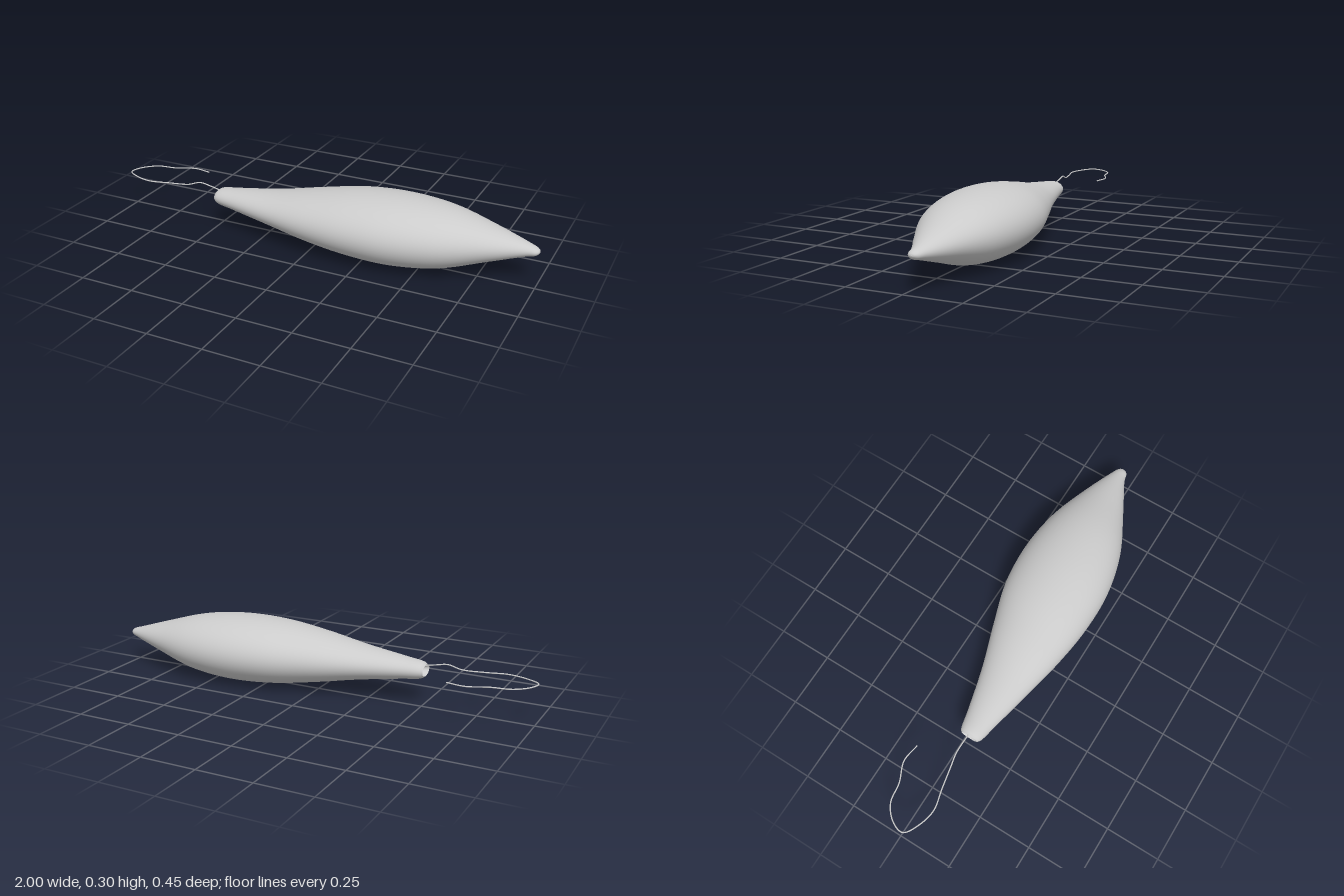
import * as THREE from 'three';

const material = new THREE.MeshStandardMaterial({ color: 0xcccccc, side: THREE.DoubleSide });

// Skin elliptical rings [x, yBottom, yTop, zMin, zMax] into one smooth surface
function loft(rings, sides = 64) {
  const pos = [], index = [];
  rings.forEach(([x, y0, y1, z0, z1], i) => {
    for (let j = 0; j < sides; j++) {
      const a = (j / sides) * Math.PI * 2;
      pos.push(x, (y0 + y1) / 2 + (y1 - y0) / 2 * Math.sin(a), (z0 + z1) / 2 + (z1 - z0) / 2 * Math.cos(a));
      if (i === 0) continue;
      const k = (j + 1) % sides, p = (i - 1) * sides, q = i * sides;
      index.push(p + j, q + j, q + k, p + j, q + k, p + k);
    }
  });
  const geo = new THREE.BufferGeometry();
  geo.setAttribute('position', new THREE.Float32BufferAttribute(pos, 3));
  geo.setIndex(index);
  geo.computeVertexNormals();
  return geo;
}

// Smooth intermediate rings through the key rings
function refine(keys, steps) {
  const spline = (c) => new THREE.CatmullRomCurve3(keys.map((k) => new THREE.Vector3(k[0], k[c], k[c + 1])), false, 'centripetal');
  const ys = spline(1), zs = spline(3), n = (keys.length - 1) * steps;
  return Array.from({ length: n + 1 }, (_, i) => {
    const y = ys.getPoint(i / n), z = zs.getPoint(i / n);
    return [(y.x + z.x) / 2, y.y, y.z, z.y, z.z];
  });
}

export function createModel() {
  const group = new THREE.Group();
  const add = (name, geo) => {
    const mesh = new THREE.Mesh(geo, material);
    mesh.name = name;
    group.add(mesh);
  };

  // Flattened spindle body with a slightly skewed axis
  add('body', loft(refine([
    [-0.5, 0.127, 0.178, 0.0, 0.083],
    [-0.485, 0.117, 0.188, -0.01, 0.093],
    [-0.4, 0.104, 0.2, -0.03, 0.112],
    [-0.2, 0.073, 0.226, -0.083, 0.155],
    [0, 0.037, 0.263, -0.15, 0.196],
    [0.2, 0.01, 0.293, -0.21, 0.22],
    [0.4, 0.002, 0.3, -0.228, 0.216],
    [0.6, 0.022, 0.28, -0.206, 0.168],
    [0.8, 0.08, 0.226, -0.143, 0.07],
    [0.95, 0.125, 0.18, -0.084, -0.008],
    [0.985, 0.135, 0.169, -0.068, -0.018],
    [0.997, 0.145, 0.16, -0.055, -0.03],
    [1, 0.152, 0.152, -0.042, -0.042],
  ], 6)));

  // Shallow hollow in the blunt end
  add('endHollow', loft([
    [-0.465, 0.152, 0.152, 0.041, 0.041],
    [-0.468, 0.14, 0.165, 0.02, 0.062],
    [-0.48, 0.132, 0.173, 0.008, 0.075],
    [-0.5, 0.127, 0.178, 0.0, 0.083],
  ]));

  // Loose thread curling out of the blunt end
  const path = new THREE.CatmullRomCurve3([
    [-0.47, 0.165, 0.037], [-0.5, 0.176, 0.037], [-0.55, 0.187, 0.037], [-0.6, 0.195, 0.04],
    [-0.66, 0.178, 0.05], [-0.76, 0.175, 0.07], [-0.85, 0.175, 0.09], [-0.93, 0.175, 0.073],
    [-0.997, 0.175, 0.03], [-0.98, 0.175, -0.03], [-0.92, 0.175, -0.083], [-0.83, 0.175, -0.1],
    [-0.74, 0.175, -0.136], [-0.655, 0.175, -0.125],
  ].map((p) => new THREE.Vector3(...p)));
  add('thread', new THREE.TubeGeometry(path, 120, 0.003, 8));

  return group;
}
